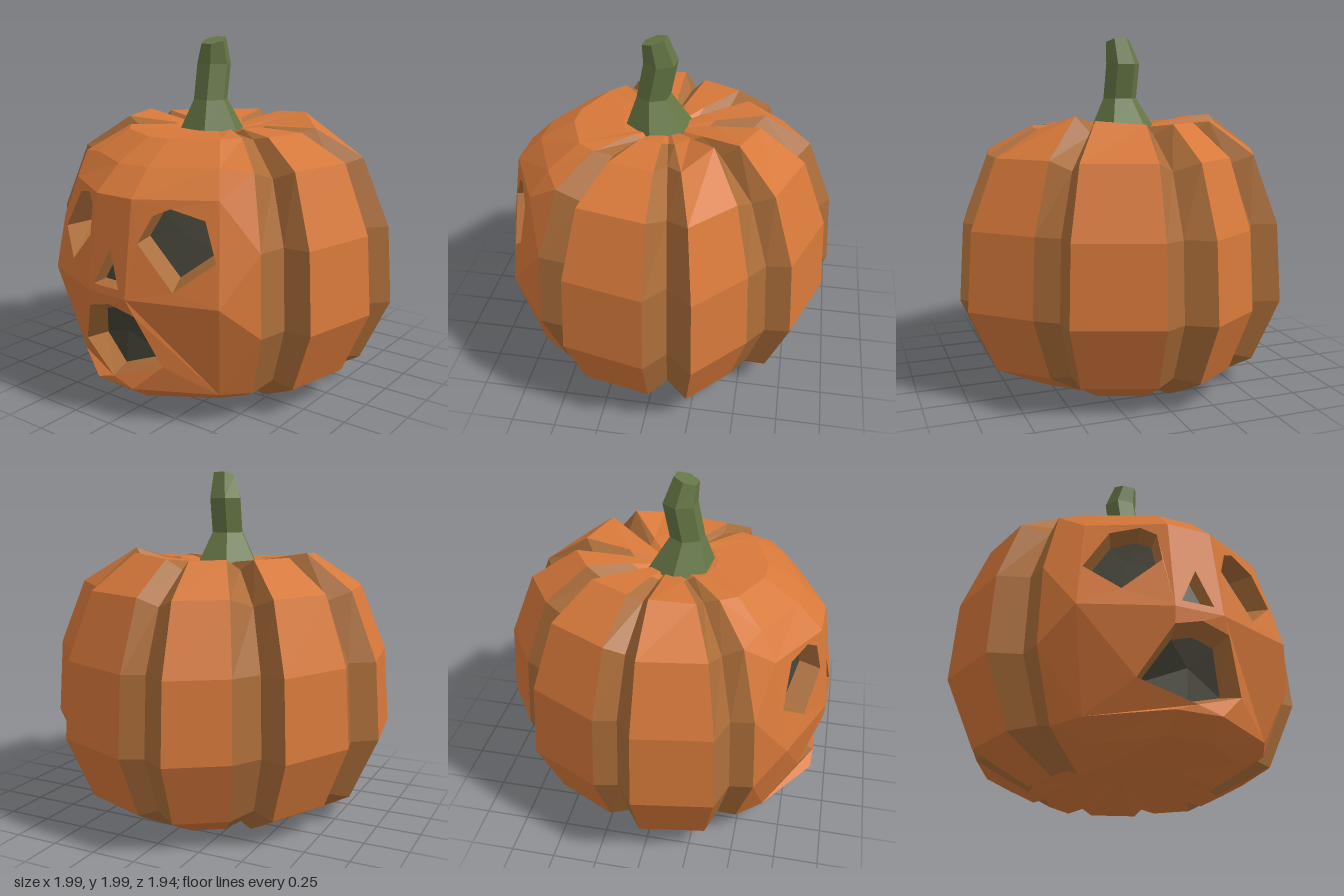
import * as THREE from 'three';

const material = (name, color) => {
  const m = new THREE.MeshStandardMaterial({ color });
  m.name = name;
  return m;
};

// Collects triangles unindexed, so every facet gets a flat normal
class Facets {
  constructor() { this.p = []; }
  tri(a, b, c) { this.p.push(...a, ...b, ...c); }
  quad(a, b, c, d) { this.tri(a, b, c); this.tri(a, c, d); }
  mesh(name, mat) {
    const g = new THREE.BufferGeometry();
    g.setAttribute('position', new THREE.Float32BufferAttribute(this.p, 3));
    g.computeVertexNormals();
    const m = new THREE.Mesh(g, mat);
    m.name = name;
    return m;
  }
}

// Rings from bottom to top: [scale of the plan outline, height]
const RINGS = {
  lobe: [[.53, .01], [.69, .09], [.84, .17], [1, .53], [.97, .97], [.82, 1.35], [.55, 1.53], [.27, 1.5], [.1, 1.47]],
  valley: [[.55, .04], [.7, .12], [.85, .2], [1, .53], [.97, .97], [.81, 1.3], [.52, 1.47], [.25, 1.47], [.1, 1.46]],
  face: [[.53, .02], [.82, .11], [.95, .2], [1, .71], [.92, 1.22], [.77, 1.36], [.56, 1.48], [.27, 1.49], [.1, 1.47]],
  cheek: [[.53, .02], [.7, .1], [.85, .19], [1, .71], [.86, 1.23], [.74, 1.37], [.55, 1.49], [.27, 1.49], [.1, 1.47]],
};
const CROWN = 6;
const MOUTH_ROW = 2;
const EYE_ROW = 3;
const TOP = 8;

// Plan outline [x, z, kind, crown lift], running from the left side over the front
const OUTLINE = [
  [.99, -.02, 'lobe', -.04], [.89, .44, 'lobe', -.04], [.74, .45, 'valley'],
  [.71, .62, 'lobe', -.04], [.58, .8, 'cheek'], [.1, .96, 'face'], [-.17, .95, 'face'], [-.61, .76, 'cheek'], [-.74, .6, 'lobe', -.03],
  [-.76, .47, 'valley'], [-.93, .41, 'lobe'], [-1, -.03, 'lobe', .02],
  [-.87, -.13, 'valley'], [-.9, -.26, 'lobe'], [-.7, -.66, 'lobe'],
  [-.55, -.62, 'valley'], [-.46, -.78, 'lobe'], [-.16, -.98, 'lobe'],
  [-.01, -.89, 'valley'], [.11, -.95, 'lobe'], [.57, -.78, 'lobe', .02],
  [.58, -.64, 'valley'], [.7, -.55, 'lobe', .04], [.99, -.28, 'lobe', -.03], [.86, -.13, 'valley'],
];
const isFace = (o) => o[2] === 'face' || o[2] === 'cheek';
const FACE = OUTLINE.filter(isFace).reverse();

const point = ([x, z, kind, lift = 0], j) => {
  const [s, y] = RINGS[kind][j];
  return [x * s, y + (j === CROWN ? lift : 0), z * s];
};

// Depth of the face surface at a front position
function faceZ(x, y) {
  const j = y > RINGS.face[EYE_ROW][1] ? EYE_ROW : MOUTH_ROW;
  const row = FACE.map((c) => {
    const [low, high] = [point(c, j), point(c, j + 1)];
    const t = (y - low[1]) / (high[1] - low[1]);
    return low.map((v, k) => v + (high[k] - v) * t);
  });
  let i = 0;
  while (i < row.length - 2 && x > row[i + 1][0]) i++;
  const [a, b] = [row[i], row[i + 1]];
  return a[2] + (b[2] - a[2]) * (x - a[0]) / (b[0] - a[0]);
}

// Carved openings: outline clockwise from the front, cut pivot [x, y], narrowing and depth
const HOLES = {
  rightEye: { rim: [[-.56, .95], [-.42, 1.17], [-.28, 1.2], [-.21, 1.15], [-.2, .99], [-.4, .81]], pivot: [0, 1.1], narrow: .85, depth: .12 },
  leftEye: { rim: [[.14, 1], [.2, 1.14], [.28, 1.18], [.45, 1.13], [.53, .93], [.34, .77]], pivot: [0, 1.1], narrow: .87, depth: .12 },
  nose: { rim: [[-.03, .95], [.05, .75], [-.13, .75]], pivot: [-.04, .82], narrow: .75, depth: .07 },
  mouth: { rim: [[-.32, .36], [-.17, .62], [-.02, .66], [.14, .62], [.25, .34], [-.04, .24]], pivot: [-.03, .44], narrow: .78, depth: .1 },
};
const rimPoints = (hole) => hole.rim.map(([x, y]) => [x, y, faceZ(x, y)]);

// Face panel between two rings and a span of columns, with one opening
function facePanel(out, columns, j, hole) {
  const border = [
    ...columns.map((c) => point(c, j)),
    ...[...columns].reverse().map((c) => point(c, j + 1)),
  ];
  const rim = rimPoints(hole);
  const v2 = (p) => new THREE.Vector2(p[0], p[1]);
  const all = [...border, ...rim];
  for (const [a, b, c] of THREE.ShapeUtils.triangulateShape(border.map(v2), [rim.map(v2)])) {
    const [A, B, C] = [all[a], all[b], all[c]];
    const area = (B[0] - A[0]) * (C[1] - A[1]) - (B[1] - A[1]) * (C[0] - A[0]);
    if (area > 0) out.tri(A, B, C);
    else out.tri(A, C, B);
  }
}

// Sloping cut walls and the dark hollow behind them
function carving(name, hole, cutMat, darkMat) {
  const group = new THREE.Group();
  group.name = name;
  const [px, py] = hole.pivot;
  const rim = rimPoints(hole);
  const inner = rim.map(([x, y, z]) => [px + (x - px) * hole.narrow, py + (y - py) * hole.narrow, z - hole.depth]);
  const n = rim.length;
  const centre = [0, 1, 2].map((k) => inner.reduce((s, p) => s + p[k], 0) / n);
  const walls = new Facets();
  const hollow = new Facets();
  for (let i = 0; i < n; i++) {
    const k = (i + 1) % n;
    walls.quad(rim[i], inner[i], inner[k], rim[k]);
    hollow.tri(centre, inner[k], inner[i]);
  }
  group.add(walls.mesh(name + 'Cut', cutMat), hollow.mesh(name + 'Hollow', darkMat));
  return group;
}

// Crooked six-sided stalk: [centre x, y, centre z, radius, tilt]
function stalk(mat) {
  const levels = [[-.02, 1.47, .06, .195, 0], [-.01, 1.65, .085, .1, 0], [-.015, 1.85, .045, .1, 0], [.005, 1.98, .075, .072, -.3]];
  const rings = levels.map(([x, y, z, r, tilt]) => Array.from({ length: 6 }, (_, i) => {
    const a = (i + .1) * Math.PI / 3;
    const dz = Math.sin(a) * r;
    return [x + Math.cos(a) * r, y + dz * tilt, z + dz];
  }));
  const f = new Facets();
  const top = levels[3].slice(0, 3);
  for (let i = 0; i < 6; i++) {
    const k = (i + 1) % 6;
    for (let j = 0; j < 3; j++) f.quad(rings[j][k], rings[j][i], rings[j + 1][i], rings[j + 1][k]);
    f.tri(top, rings[3][k], rings[3][i]);
  }
  return f.mesh('stem', mat);
}

export function createModel() {
  const orange = material('pumpkin orange', 0xd6783a);
  const brown = material('groove brown', 0xab6d39);
  const dark = material('hollow dark', 0x454337);
  const green = material('stem green', 0x657645);
  const model = new THREE.Group();
  model.name = 'carvedPumpkin';

  // Lobes and grooves
  const lobes = new Facets();
  const grooves = new Facets();
  const base = [0, .12, 0];
  const crown = [0, 1.47, 0];
  OUTLINE.forEach((a, i) => {
    const b = OUTLINE[(i + 1) % OUTLINE.length];
    const groove = a[2] === 'valley' || b[2] === 'valley';
    const carved = isFace(a) && isFace(b);
    for (let j = 0; j < TOP; j++) {
      if (carved && (j === MOUTH_ROW || j === EYE_ROW)) continue;
      const out = groove && j < TOP - 1 ? grooves : lobes;
      const [bl, br, tr, tl] = [point(b, j), point(a, j), point(a, j + 1), point(b, j + 1)];
      // Both cheeks fold outward along mirrored diagonals
      if (isFace(a) && !carved) out.quad(br, tr, tl, bl);
      else out.quad(bl, br, tr, tl);
    }
    lobes.tri(base, point(a, 0), point(b, 0));
    lobes.tri(crown, point(b, TOP), point(a, TOP));
  });

  // Carved front panels
  facePanel(lobes, FACE, MOUTH_ROW, HOLES.mouth);
  ['rightEye', 'nose', 'leftEye'].forEach((name, i) => {
    facePanel(lobes, FACE.slice(i, i + 2), EYE_ROW, HOLES[name]);
  });
  model.add(lobes.mesh('lobes', orange), grooves.mesh('grooves', brown));

  for (const [name, hole] of Object.entries(HOLES)) model.add(carving(name, hole, brown, dark));
  model.add(stalk(green));
  return model;
}
